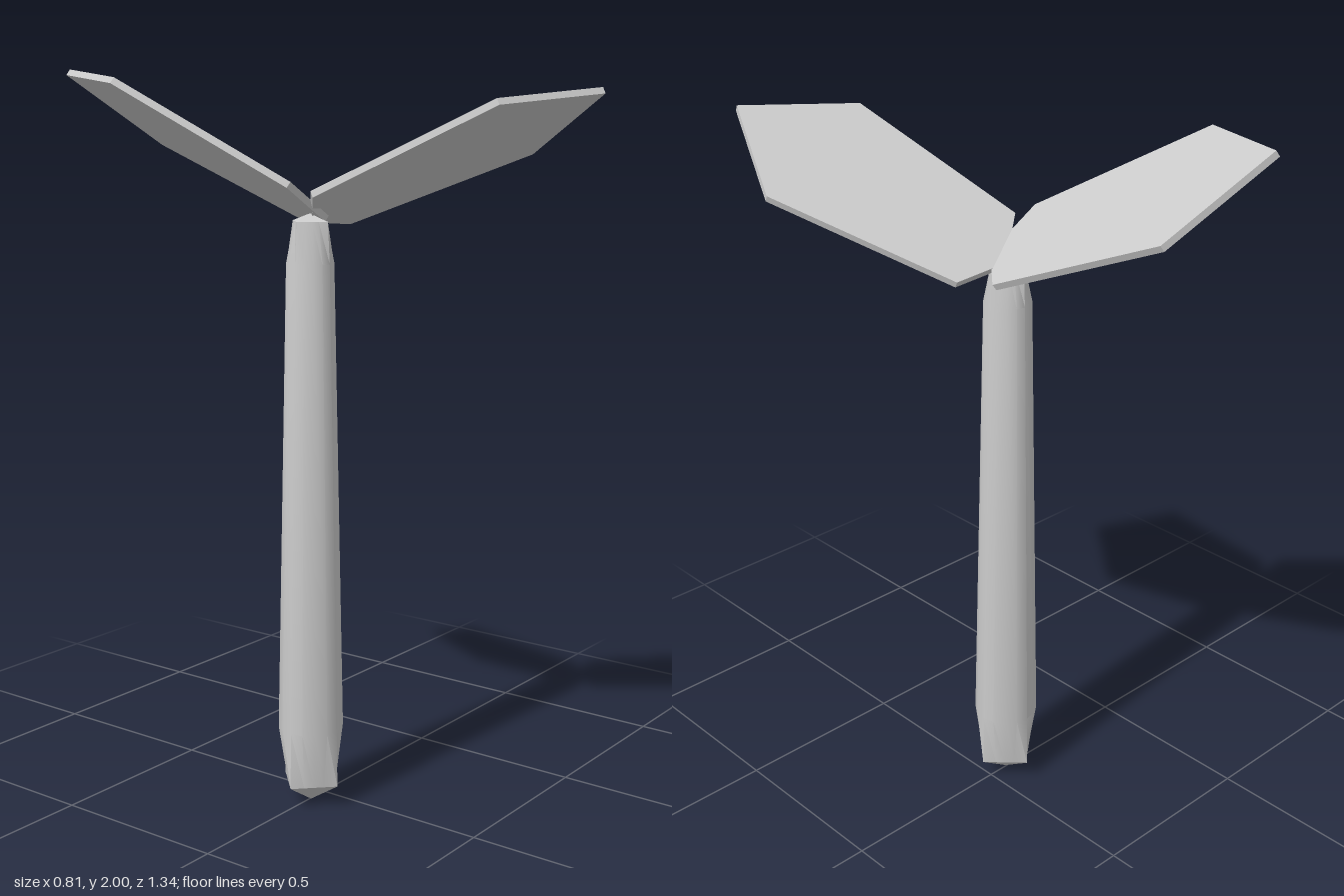
import * as THREE from 'three';
import { toCreasedNormals } from 'three/addons/utils/BufferGeometryUtils.js';

const material = new THREE.MeshStandardMaterial({ color: 0xcccccc });

// Tapered round stem whose two ends turn square and close in shallow points
function stemGeometry() {
  const profile = [[0, 0], [0.092, 0.06], [0.09, 0.22], [0.064, 1.5], [0.058, 1.61], [0, 1.63]]
    .map(([r, y]) => new THREE.Vector2(r, y));
  const geometry = new THREE.LatheGeometry(profile, 16);
  const pos = geometry.attributes.position;
  const quarter = Math.PI / 2;
  for (let i = 0; i < pos.count; i++) {
    const x = pos.getX(i), y = pos.getY(i), z = pos.getZ(i);
    if (y > 0.2 && y < 1.55) continue;
    // Pull the end rings onto a square with corners on the x and z axes
    const angle = (Math.atan2(z, x) + 2 * Math.PI + 1e-6) % quarter;
    const k = Math.SQRT1_2 / Math.cos(angle - quarter / 2);
    pos.setXYZ(i, x * k, y, z * k);
  }
  return toCreasedNormals(geometry, 0.6);
}

// Flat plate: plan outline [x, z] laid on the slope y = a + b x + c z
function leafGeometry(outline, [a, b, c], thickness = 0.018) {
  const shape = new THREE.Shape(outline.map(([x, z]) => new THREE.Vector2(x, -z)));
  const geometry = new THREE.ExtrudeGeometry(shape, { depth: thickness, bevelEnabled: false });
  geometry.rotateX(-Math.PI / 2);
  const normal = new THREE.Vector3(-b, 1, -c).normalize();
  const pos = geometry.attributes.position;
  const p = new THREE.Vector3();
  for (let i = 0; i < pos.count; i++) {
    p.fromBufferAttribute(pos, i);
    const offset = p.y - thickness / 2;
    p.y = a + b * p.x + c * p.z;
    p.addScaledVector(normal, offset);
    pos.setXYZ(i, p.x, p.y, p.z);
  }
  geometry.computeVertexNormals();
  return geometry;
}

export function createModel() {
  const group = new THREE.Group();
  const add = (name, geometry) => {
    const mesh = new THREE.Mesh(geometry, material);
    mesh.name = name;
    group.add(mesh);
    return mesh;
  };

  add('stem', stemGeometry()).position.set(-0.063, 0, 0.003);

  // Two leaves crossing each other just above the stem
  add('frontLeaf', leafGeometry(
    [[-0.17, 0.09], [-0.03, 0.545], [0.285, 0.662], [0.4, 0.393], [0.13, -0.012], [-0.03, -0.02]],
    [1.619, -0.108, 0.534]));
  add('backLeaf', leafGeometry(
    [[-0.265, -0.668], [-0.402, -0.37], [-0.21, 0.048], [-0.05, 0.048], [0.068, -0.085], [0, -0.565]],
    [1.605, -0.577, -0.353]));
  return group;
}
